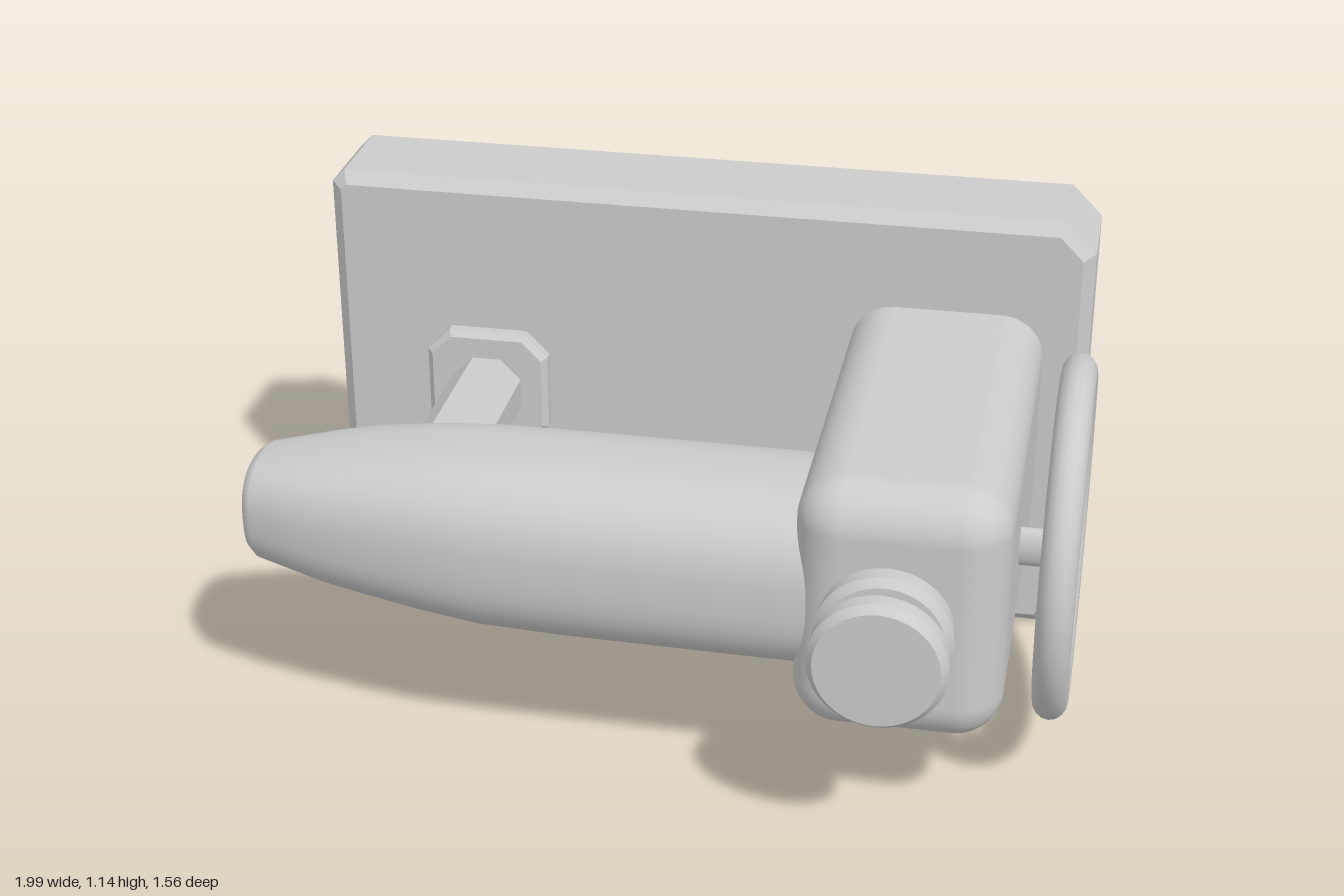
import * as THREE from 'three';
import { RoundedBoxGeometry } from 'three/addons/geometries/RoundedBoxGeometry.js';
import { toCreasedNormals } from 'three/addons/utils/BufferGeometryUtils.js';

const grey = new THREE.MeshStandardMaterial({ color: 0xcccccc });

function add(parent, name, geometry, x = 0, y = 0, z = 0) {
  const mesh = new THREE.Mesh(geometry, grey);
  mesh.name = name;
  mesh.position.set(x, y, z);
  parent.add(mesh);
  return mesh;
}

// Turned part from [radius, height] pairs, with sharp edges kept
const turned = (points, sides = 40) => toCreasedNormals(
  new THREE.LatheGeometry(points.map(([r, h]) => new THREE.Vector2(r, h)), sides), 0.6);

// Plate outline: large chamfers on the +x corners, tiny ones on the -x corners
function plateGeometry() {
  const bevel = 0.03, l = -0.97, r = 0.925, b = 0.033, t = 1.112, s = 0.015, c = 0.06;
  const outline = [[l + s, b], [r - c, b], [r, b + c], [r, t - c], [r - c, t], [l + s, t], [l, t - s], [l, b + s]];
  const shape = new THREE.Shape(outline.map(([x, y]) => new THREE.Vector2(x, y)));
  return new THREE.ExtrudeGeometry(shape, {
    depth: 0.31 - 2 * bevel, bevelThickness: bevel, bevelSize: bevel, bevelSegments: 1,
  }).translate(0, 0, -0.73 + bevel);
}

// Loft of soft-cornered sections [x, yMin, yMax, zMin, zMax] along x
function armGeometry() {
  const sections = [
    [-1, 0.57, 0.571, 0.28, 0.281], [-1, 0.49, 0.66, 0.2, 0.37], [-0.99, 0.46, 0.69, 0.165, 0.4],
    [-0.965, 0.444, 0.708, 0.145, 0.425], [-0.8, 0.41, 0.745, 0.1, 0.475], [-0.7, 0.395, 0.763, 0.08, 0.497],
    [-0.55, 0.377, 0.786, 0.076, 0.526], [-0.4, 0.363, 0.8, 0.075, 0.547], [-0.2, 0.357, 0.803, 0.075, 0.553],
    [0.3, 0.352, 0.803, 0.075, 0.555], [0.5, 0.352, 0.803, 0.075, 0.555],
  ];
  const n = 48, pos = [], idx = [];
  const soft = v => Math.sign(v) * Math.abs(v) ** 0.78;
  sections.forEach(([x, y0, y1, z0, z1], i) => {
    for (let j = 0; j < n; j++) {
      const a = j / n * Math.PI * 2;
      pos.push(x, (y0 + y1) / 2 + soft(Math.sin(a)) * (y1 - y0) / 2, (z0 + z1) / 2 + soft(Math.cos(a)) * (z1 - z0) / 2);
      if (i === 0) continue;
      const p = (i - 1) * n + j, q = (i - 1) * n + (j + 1) % n;
      idx.push(p, p + n, q, q, p + n, q + n);
    }
  });
  const g = new THREE.BufferGeometry();
  g.setAttribute('position', new THREE.Float32BufferAttribute(pos, 3));
  g.setIndex(idx);
  // Winding must face outward: flip if the first side faces inward
  g.computeVertexNormals();
  const k = 8 * n + n / 4;
  if (g.attributes.normal.getY(k) < 0) {
    g.setIndex(idx.map((_, i) => idx[i - i % 3 + 2 - i % 3]));
    g.computeVertexNormals();
  }
  return g;
}

// Handwheel built facing +z, then turned to face +x
function handwheel() {
  const wheel = new THREE.Group();
  wheel.name = 'handwheel';
  add(wheel, 'rim', new THREE.TorusGeometry(0.388, 0.047, 16, 72)).scale.z = 0.9;
  add(wheel, 'hub', new THREE.SphereGeometry(0.22, 40, 20)).scale.z = 0.17;
  const spokes = 18;
  for (let i = 0; i < spokes; i++) {
    const a = (i + 0.5) / spokes * Math.PI * 2;
    // Spokes widen where they meet the hub and the rim
    const spoke = add(wheel, 'spoke', new THREE.LatheGeometry(
      [[0.055, 0.17], [0.042, 0.22], [0.022, 0.27], [0.018, 0.31], [0.03, 0.345], [0.045, 0.37]]
        .map(([r, h]) => new THREE.Vector2(r, h)), 12));
    spoke.rotation.z = a;
    spoke.scale.z = 0.5;
  }
  wheel.rotation.set(0, Math.PI / 2, 0);
  wheel.position.set(0.945, 0.58, 0.112);
  return wheel;
}

export function createModel() {
  const model = new THREE.Group();
  model.name = 'machine';

  // Base plate standing upright, with feet on its back
  add(model, 'basePlate', plateGeometry());
  for (const x of [-0.865, 0.815]) {
    for (const y of [0.155, 1.005]) {
      const foot = add(model, 'foot', toCreasedNormals(new THREE.CylinderGeometry(0.067, 0.067, 0.09, 8), 0.3), x, y, -0.737);
      foot.rotation.x = Math.PI / 2;
    }
  }

  // Pillar and tapered arm
  add(model, 'pillar', new RoundedBoxGeometry(0.485, 0.635, 1.15, 8, 0.11), 0.6, 0.575, 0.01);
  add(model, 'arm', armGeometry());

  // Octagonal post between the arm and the plate, with its flange
  const post = add(model, 'post', toCreasedNormals(new THREE.CylinderGeometry(0.098, 0.098, 0.65, 8), 0.3), -0.59, 0.58, -0.12);
  post.rotation.set(Math.PI / 2, Math.PI / 8, 0);
  const flange = new THREE.Shape([[0.1, 0.16], [0.16, 0.1], [0.16, -0.1], [0.1, -0.16], [-0.1, -0.16], [-0.16, -0.1], [-0.16, 0.1], [-0.1, 0.16]]
    .map(([x, y]) => new THREE.Vector2(x, y)));
  add(model, 'postFlange', new THREE.ExtrudeGeometry(flange, {
    depth: 0.035, bevelThickness: 0.015, bevelSize: 0.015, bevelOffset: -0.015, bevelSegments: 1,
  }), -0.59, 0.58, -0.43);

  // Front knob: collar, neck and cap
  const knob = add(model, 'frontKnob', turned([
    [0.12, -0.06], [0.13, 0.005], [0.155, 0.015], [0.158, 0.06], [0.14, 0.078], [0.085, 0.08], [0.085, 0.12],
    [0.14, 0.122], [0.158, 0.138], [0.158, 0.175], [0.142, 0.195], [0, 0.197],
  ]), 0.578, 0.573, 0.578);
  knob.rotation.x = Math.PI / 2;

  // Wide knob under the pillar
  const lower = add(model, 'lowerKnob', turned([
    [0, -0.06], [0.14, -0.055], [0.2, -0.04], [0.215, -0.01], [0.21, 0.02], [0.19, 0.037], [0.165, 0.05], [0.18, 0.1],
  ]), 0.61, 0.19, 0.115);
  lower.rotation.z = -0.03;

  // Handwheel on a short flattened axle
  const axle = add(model, 'axle', new THREE.CylinderGeometry(0.05, 0.05, 0.14, 20), 0.88, 0.57, 0.16);
  axle.rotation.z = Math.PI / 2;
  axle.scale.z = 0.5;
  model.add(handwheel());

  return model;
}
